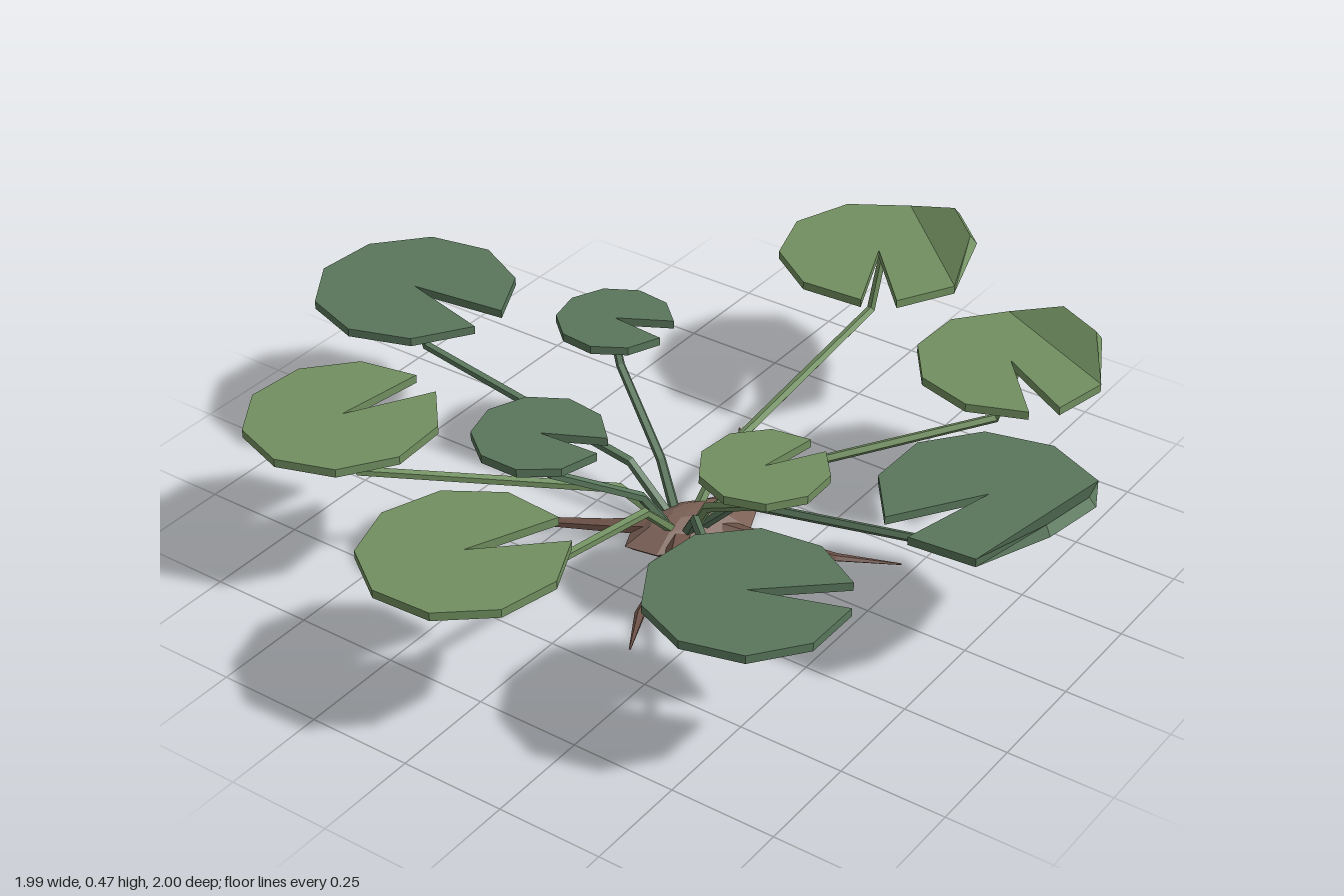
import * as THREE from 'three';

const flat = (color, name) => {
  const m = new THREE.MeshStandardMaterial({ color });
  m.name = name;
  return m;
};

// Faceted geometry from a list of triangles (each three Vector3)
function facets(tris) {
  const g = new THREE.BufferGeometry().setFromPoints(tris.flat());
  g.computeVertexNormals();
  return g;
}

// Tapered tube along a polyline; radii are [width, height] per point
function limb(points, radii, sides) {
  const up = new THREE.Vector3(0, 1, 0);
  const rings = points.map((p, k) => {
    const before = points[Math.max(k - 1, 0)], after = points[Math.min(k + 1, points.length - 1)];
    const t = after.clone().sub(before).normalize();
    const side = up.clone().cross(t).normalize();
    const n = t.clone().cross(side);
    return Array.from({ length: sides }, (_, i) => {
      const a = ((i + 0.5) / sides) * Math.PI * 2;
      return p.clone().addScaledVector(side, Math.cos(a) * radii[k][0]).addScaledVector(n, Math.sin(a) * radii[k][1]);
    });
  });
  const tris = [];
  for (let k = 0; k < rings.length - 1; k++) {
    for (let i = 0; i < sides; i++) {
      const j = (i + 1) % sides;
      const a = rings[k][i], b = rings[k][j], c = rings[k + 1][j], d = rings[k + 1][i];
      tris.push([a, b, c], [a, c, d]);
    }
  }
  return facets(tris);
}

// Notched round leaf: green top and rim, separate underside; optional turned-up edge
function leafGeometry({ x, z, r, notch, gap, curled }) {
  const low = 0.395, high = 0.415;
  const ring = (y, curlScale) => {
    const pts = [new THREE.Vector3(x, y, z)];
    for (let i = 0; i < 10; i++) {
      const a = THREE.MathUtils.degToRad(notch + gap / 2 + ((360 - gap) * i) / 9);
      const lifted = curled && (i === 6 || i === 7);
      const d = r * (lifted ? curlScale : 1);
      pts.push(new THREE.Vector3(x + Math.cos(a) * d, y + (lifted ? 0.056 : 0), z + Math.sin(a) * d));
    }
    return pts;
  };
  const top = ring(high, 0.9), bottom = ring(low, 0.97);
  // Fan from the notch, with a fold across the chord where the edge turns up
  const fan = [];
  for (let i = 1; i < 10; i++) if (i < 6 || i > 8) fan.push([0, i, i + 1]);
  fan.push([0, 6, 9], [6, 7, 8], [6, 8, 9]);
  const upper = fan.map(([a, b, c]) => [top[a], top[c], top[b]]);
  for (let i = 0; i < 11; i++) {
    const j = (i + 1) % 11;
    upper.push([bottom[j], bottom[i], top[i]], [bottom[j], top[i], top[j]]);
  }
  return {
    upper: facets(upper),
    under: facets(fan.map(([a, b, c]) => [bottom[a], bottom[b], bottom[c]])),
  };
}

export function createModel() {
  const root = new THREE.Group();
  root.name = 'waterLilyPlant';
  const light = flat(0x718f60, 'lightLeafGreen');
  const dark = flat(0x59765b, 'darkLeafGreen');
  const underside = flat(0x7b5345, 'leafUndersideBrown');
  const crownBrown = flat(0x7a6055, 'crownBrown');
  const rootBrown = flat(0x6c5146, 'rootBrown');

  const add = (parent, name, geometry, material) => {
    const mesh = new THREE.Mesh(geometry, material);
    mesh.name = name;
    parent.add(mesh);
    return mesh;
  };

  // Leaves: centre, radius, notch direction and width in degrees
  const leaves = [
    { name: 'backLeaf', x: -0.015, z: -0.765, r: 0.238, notch: 94, gap: 22, mat: dark },
    { name: 'backRightLeaf', x: -0.535, z: -0.54, r: 0.22, notch: 19, gap: 22, mat: light },
    { name: 'rightLeaf', x: -0.78, z: 0.0, r: 0.223, notch: 35, gap: 23, mat: light },
    { name: 'frontRightLeaf', x: -0.56, z: 0.55, r: 0.217, notch: 60, gap: 23, mat: dark },
    { name: 'frontLeaf', x: 0.015, z: 0.775, r: 0.24, notch: 204, gap: 20, mat: dark, curled: true },
    { name: 'frontLeftLeaf', x: 0.505, z: 0.545, r: 0.217, notch: 130, gap: 19, mat: light, curled: true },
    { name: 'leftLeaf', x: 0.76, z: 0.035, r: 0.24, notch: 148, gap: 20, mat: light, curled: true },
    { name: 'smallRightLeaf', x: -0.345, z: -0.14, r: 0.15, notch: 75, gap: 24, mat: dark },
    { name: 'smallBackLeaf', x: 0.14, z: -0.295, r: 0.137, notch: 78, gap: 34, mat: dark },
    { name: 'smallFrontLeaf', x: -0.17, z: 0.33, r: 0.145, notch: 21, gap: 22, mat: light },
  ];
  for (const leaf of leaves) {
    const group = new THREE.Group();
    group.name = leaf.name;
    root.add(group);
    const { upper, under } = leafGeometry(leaf);
    add(group, 'leafTop', upper, leaf.mat);
    add(group, 'leafUnderside', under, underside);

    // Stem: rises from the crown, runs outward, then turns up to the leaf
    const reach = Math.hypot(leaf.x, leaf.z);
    const dir = new THREE.Vector3(leaf.x, 0, leaf.z).normalize();
    const at = (d, y) => dir.clone().multiplyScalar(d).setY(y);
    const path = [
      at(0.04, 0.04),
      at(0.08 + 0.09 * reach, 0.15),
      at(reach - 0.025, 0.33 - 0.09 * reach),
      at(reach + 0.02, 0.4),
    ];
    add(group, 'stem', limb(path, [[0.013, 0.013], [0.012, 0.012], [0.011, 0.011], [0.01, 0.01]], 5), leaf.mat);
  }

  // Crown: low lumpy mound, longer along one diagonal
  const profile = [[0, 0], [0.85, 0], [1, 0.018], [0.62, 0.055], [0.3, 0.07], [0, 0.072]];
  const mound = new THREE.LatheGeometry(profile.map(([a, b]) => new THREE.Vector2(a, b)), 8)
    .scale(0.17, 1, 0.09).rotateY(-0.5).translate(0.015, 0, 0.01).toNonIndexed();
  mound.computeVertexNormals();
  add(root, 'crown', mound, crownBrown);

  // Roots: flat tapering strands lying on the ground
  const strands = [
    [[-0.03, -0.03], [-0.09, -0.15], [-0.165, -0.32], [-0.2, -0.46]],
    [[0.05, -0.01], [0.15, 0.015], [0.33, -0.07], [0.445, -0.15]],
    [[0.03, 0.04], [0.065, 0.14], [0.12, 0.34], [0.19, 0.47]],
    [[-0.04, 0.02], [-0.14, 0.065], [-0.31, 0.1], [-0.425, 0.155]],
  ];
  const heights = [0.035, 0.022, 0.009, 0.003];
  const widths = [[0.03, 0.02], [0.02, 0.014], [0.013, 0.008], [0.002, 0.002]];
  for (const strand of strands) {
    const path = strand.map(([x, z], k) => new THREE.Vector3(x, heights[k], z));
    add(root, 'root', limb(path, widths, 5), rootBrown);
  }
  return root;
}
